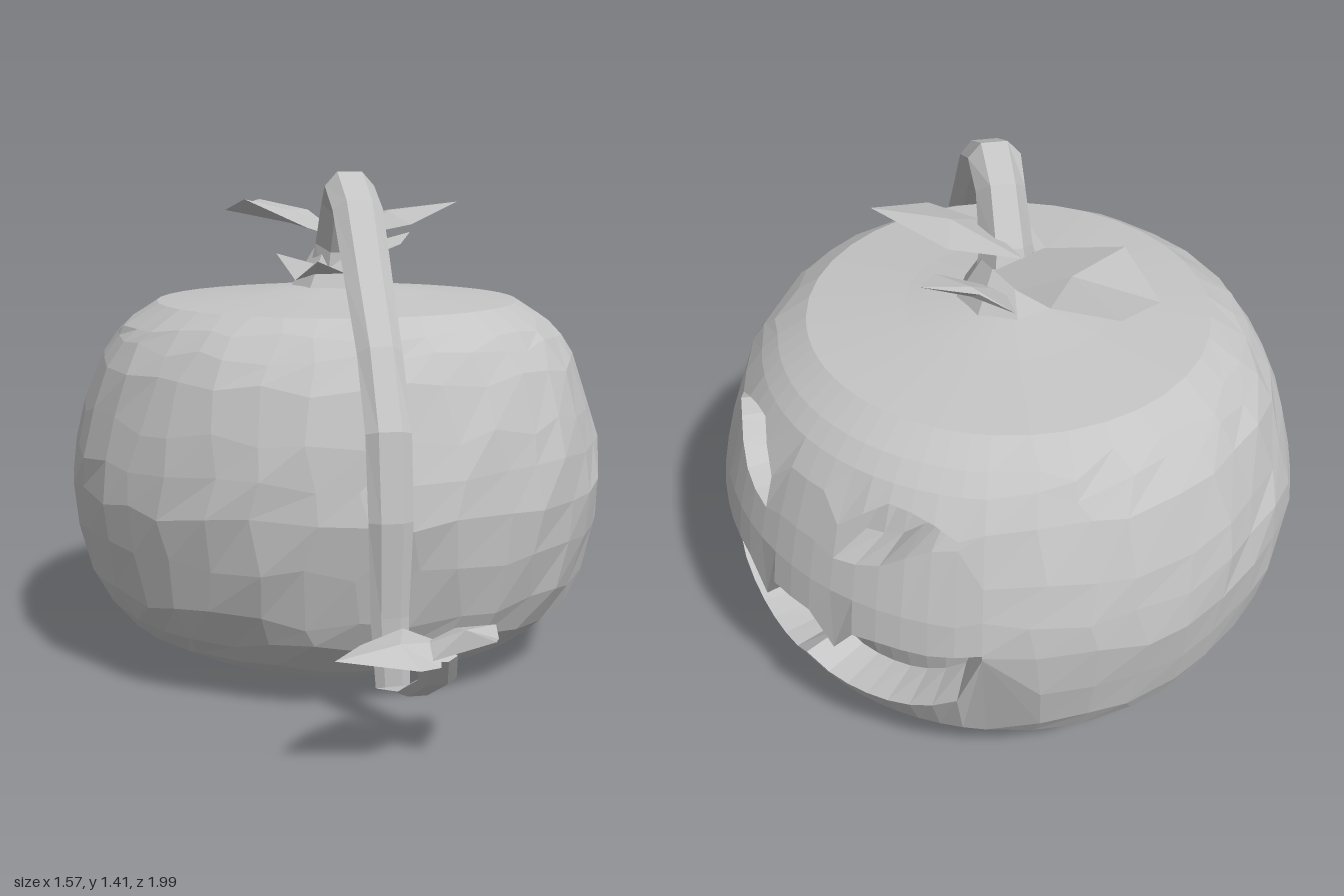
import * as THREE from 'three';

const grey = new THREE.MeshStandardMaterial({ color: 0xc4c4c4, side: THREE.DoubleSide });
grey.name = 'plain grey';

let seed = 7;
const rand = () => {
  seed = (seed * 16807) % 2147483647;
  return seed / 2147483647 - 0.5;
};

// Unshared triangles give every facet its own flat normal
function facets(name, tris) {
  const g = new THREE.BufferGeometry().setFromPoints(tris);
  g.computeVertexNormals();
  const mesh = new THREE.Mesh(g, grey);
  mesh.name = name;
  return mesh;
}
const quad = (out, a, b, c, d) => out.push(a, b, c, a, c, d);
const V = (x, y, z) => new THREE.Vector3(x, y, z);

// Body silhouette as [height, radius]
const PROFILE = [[0, 0], [0.05, 0.52], [0.1, 0.62], [0.2, 0.715], [0.31, 0.757], [0.43, 0.775], [0.55, 0.787],
  [0.65, 0.768], [0.8, 0.73], [0.88, 0.695], [0.97, 0.63], [1.035, 0.53], [1.06, 0.27], [1.085, 0.08]];
function radiusAt(y) {
  const k = Math.max(1, PROFILE.findIndex(p => p[0] >= y - 1e-6));
  const [y0, r0] = PROFILE[k - 1], [y1, r1] = PROFILE[k];
  return r0 + (r1 - r0) * (y - y0) / (y1 - y0);
}

// Carved outlines: mouth runs outward from its middle, eye from outer to inner corner
const MOUTH_TOP = [0.53, 0.53, 0.43, 0.52, 0.53, 0.53, 0.53, 0.54, 0.555];
const MOUTH_LOW = [0.3, 0.26, 0.255, 0.26, 0.27, 0.29, 0.32, 0.36, 0.54];
const EYE_TOP = [0.85, 0.88, 0.895, 0.9, 0.86, 0.81];
const EYE_LOW = [0.83, 0.82, 0.79, 0.75, 0.73, 0.72];

function makeBody() {
  const rows = [0, 0.05, 0.1, 0.18, 0.26, 0.4, 0.53, 0.63, 0.74, 0.87, 0.94, 0.985, 1.035, 1.06, 1.085];
  const angles = [];
  for (let a = -5; a < 75; a += 5) angles.push(a); // finer columns across the face
  for (let a = 75; a < 355; a += 10) angles.push(a);
  const n = angles.length;
  const outer = [], inner = [];
  angles.forEach((deg, i) => {
    const j = Math.abs(i - 8), e = 7 - j; // columns mirrored about the face middle
    const ys = rows.slice();
    if (j <= 8) {
      ys[4] = MOUTH_LOW[j];
      ys[6] = MOUTH_TOP[j];
      ys[5] = (ys[4] + ys[6]) / 2;
      if (e >= 0 && e <= 5) { ys[8] = EYE_LOW[e]; ys[9] = EYE_TOP[e]; }
      if (j === 8) ys[7] = 0.65;
    }
    const ring = depth => ys.map((y, k) => {
      const free = j > 8 && k > 1 && k < 12;
      const yy = y + (free ? rand() * 0.035 : 0);
      const r = Math.max(0, radiusAt(yy) - depth + (free ? rand() * 0.014 : 0));
      const a = (deg + (free ? rand() * 4 : 0)) * Math.PI / 180;
      return V(r * Math.cos(a), yy, -0.21 - r * Math.sin(a));
    });
    outer.push(ring(0));
    inner.push(ring(0.13));
  });
  const hole = (i, k) => {
    if (k === 4 || k === 5) return i >= 0 && i < 16;
    return k === 8 && ((i >= 1 && i < 6) || (i >= 10 && i < 15));
  };
  const skin = [], carving = [];
  for (let i = 0; i < n; i++) {
    for (let k = 0; k < rows.length - 1; k++) {
      const ids = [[i, k], [(i + 1) % n, k], [(i + 1) % n, k + 1], [i, k + 1]];
      const o = ids.map(([c, r]) => outer[c][r]);
      if (!hole(i, k)) { quad(skin, ...o); continue; }
      // Recessed back and side walls of each opening
      const b = ids.map(([c, r]) => inner[c][r]);
      quad(carving, ...b);
      [[i, k - 1], [i + 1, k], [i, k + 1], [i - 1, k]].forEach(([c, r], s) => {
        const t = (s + 1) % 4;
        if (!hole(c, r)) quad(carving, o[s], o[t], b[t], b[s]);
      });
    }
  }
  return [facets('pumpkinBody', skin), facets('carvedFace', carving)];
}

// Flattened six-sided stem; each station is [x, y, z, halfWidth, halfThickness]
function makeStem() {
  const path = [[0, 1.05, -0.2, 0.1, 0.09], [0, 1.2, -0.17, 0.07, 0.06], [0, 1.32, -0.09, 0.065, 0.05],
    [0, 1.37, 0, 0.07, 0.04], [0, 1.31, 0.13, 0.07, 0.035], [0, 1.14, 0.28, 0.065, 0.03],
    [0, 0.96, 0.44, 0.06, 0.03], [0, 0.77, 0.56, 0.06, 0.025], [0, 0.55, 0.595, 0.058, 0.022],
    [0, 0.3, 0.583, 0.05, 0.015], [0.01, 0.11, 0.58, 0.045, 0.014], [0.06, 0.12, 0.64, 0.05, 0.014],
    [0.09, 0.18, 0.73, 0.05, 0.015], [0.07, 0.27, 0.82, 0.05, 0.015]];
  const rings = path.map(([x, y, z, w, t], i) => {
    const p = path[Math.max(0, i - 1)], q = path[Math.min(path.length - 1, i + 1)];
    const normal = V(0, q[2] - p[2], p[1] - q[1]).normalize();
    return Array.from({ length: 6 }, (_, s) => {
      const a = s * Math.PI / 3;
      return V(x + w * Math.cos(a), y, z).addScaledVector(normal, t * Math.sin(a) * 1.15);
    });
  });
  const out = [];
  for (let i = 0; i < rings.length - 1; i++) {
    for (let s = 0; s < 6; s++) {
      const t = (s + 1) % 6;
      quad(out, rings[i][t], rings[i][s], rings[i + 1][s], rings[i + 1][t]);
    }
  }
  const last = rings[rings.length - 1];
  for (let s = 1; s < 5; s++) out.push(last[0], last[s + 1], last[s]);
  return facets('curlingStem', out);
}

// Thin leaf: an outline fanned to a raised and a lowered middle
function makeLeaf(name, outline, thick = 0.015) {
  const pts = outline.map(p => V(...p));
  const mid = pts.reduce((m, p) => m.add(p), V(0, 0, 0)).divideScalar(pts.length);
  const up = mid.clone(), low = mid.clone();
  up.y += thick;
  low.y -= thick;
  const area = pts.reduce((s, p, i) => {
    const q = pts[(i + 1) % pts.length];
    return s + p.z * q.x - q.z * p.x;
  }, 0);
  if (area < 0) pts.reverse();
  const out = [];
  pts.forEach((p, i) => {
    const q = pts[(i + 1) % pts.length];
    out.push(up, p, q, low, q, p);
  });
  return facets(name, out);
}

export function createModel() {
  const group = new THREE.Group();
  group.name = 'carvedPumpkin';
  group.add(...makeBody(), makeStem());

  // Ragged collar around the stem foot
  const foot = new THREE.CylinderGeometry(0.07, 0.15, 0.13, 8, 1, true).toNonIndexed();
  foot.computeVertexNormals();
  const collar = new THREE.Mesh(foot, grey);
  collar.name = 'stemCollar';
  collar.position.set(0, 1.12, -0.2);
  group.add(collar);

  // Leaves at the crown
  group.add(
    makeLeaf('largeCrownLeaf', [[0.05, 1.2, -0.28], [0.02, 1.23, -0.42], [-0.03, 1.28, -0.58], [-0.17, 1.31, -0.7],
      [-0.29, 1.28, -0.6], [-0.25, 1.32, -0.41], [-0.08, 1.24, -0.26]], 0.02),
    makeLeaf('leftCrownLeaf', [[-0.02, 1.24, -0.3], [0.17, 1.29, -0.3], [0.34, 1.32, -0.12],
      [0.18, 1.26, -0.02], [0.05, 1.23, -0.08]], 0.025),
    makeLeaf('backCrownLeaf', [[0.02, 1.12, -0.25], [0.02, 1.16, -0.42], [0.1, 1.18, -0.35],
      [0.25, 1.22, -0.35], [0.2, 1.19, -0.25]]),
    makeLeaf('rightCrownLeaf', [[0, 1.1, -0.2], [-0.18, 1.17, -0.21], [-0.14, 1.1, -0.1], [-0.09, 1.16, 0], [0, 1.12, -0.08]]),
  );

  // Leaves at the hanging tip
  group.add(
    makeLeaf('rightTipLeaf', [[0.0, 0.32, 0.74], [-0.12, 0.31, 0.82], [-0.2, 0.31, 0.925],
      [0, 0.28, 0.945], [0.06, 0.27, 0.9], [0.08, 0.3, 0.8]], 0.02),
    makeLeaf('leftTipLeaf', [[0.02, 0.29, 0.8], [0.12, 0.33, 0.79], [0.225, 0.33, 0.78],
      [0.21, 0.32, 0.86], [0.165, 0.36, 1.0], [0.04, 0.28, 0.88]], 0.025),
  );
  return group;
}
